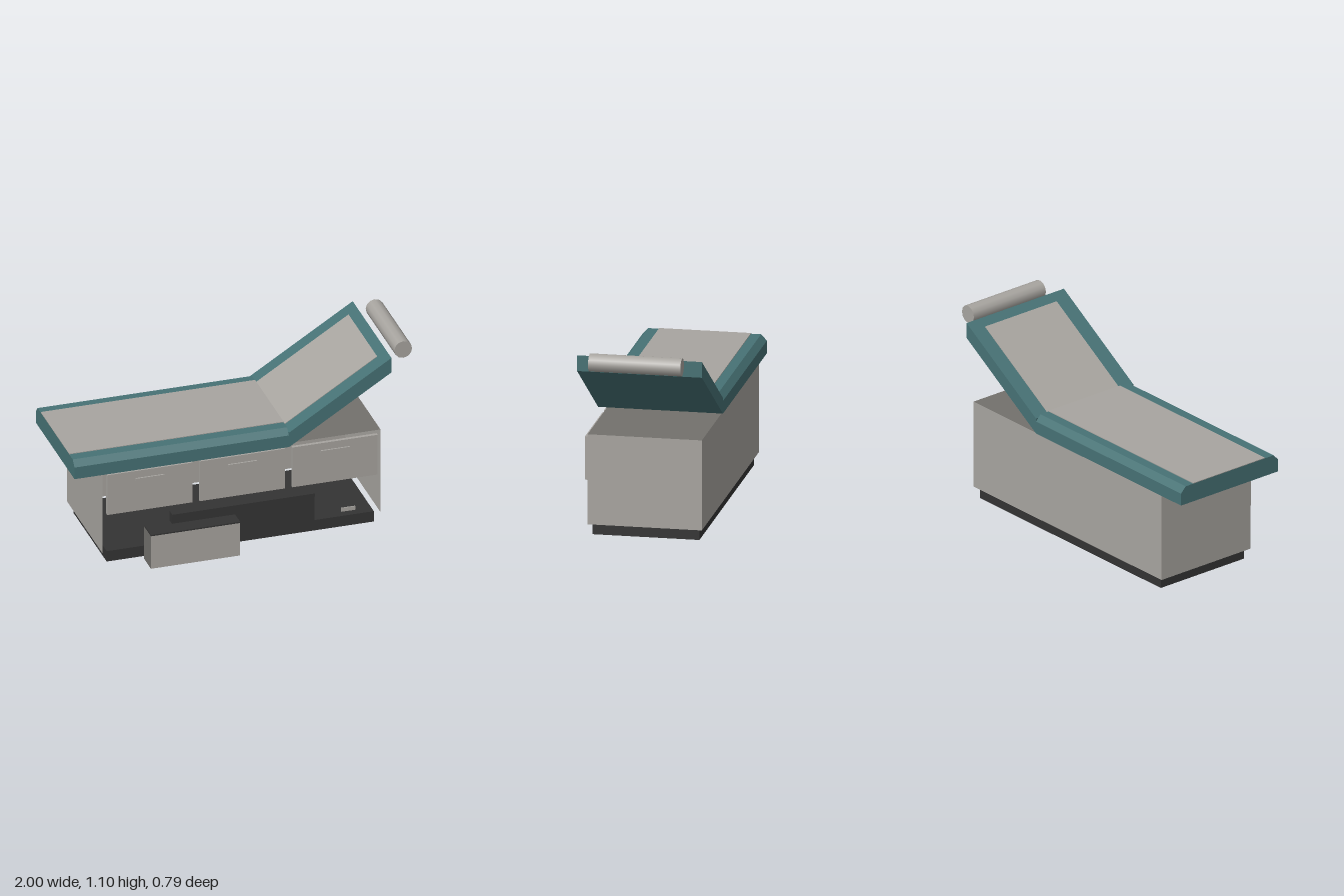
import * as THREE from 'three';

const mat = (name, color) => {
  const m = new THREE.MeshStandardMaterial({ color, side: THREE.DoubleSide });
  m.name = name;
  return m;
};

export function createModel() {
  const model = new THREE.Group();
  model.name = 'examinationTable';
  const grey = mat('warmGrey', 0xa8a5a0);
  const midGrey = mat('midGrey', 0x73716d);
  const teal = mat('teal', 0x477275);
  const dark = mat('charcoal', 0x343434);

  const add = (name, geometry, material) => {
    const mesh = new THREE.Mesh(geometry, material);
    mesh.name = name;
    model.add(mesh);
    return mesh;
  };

  // Box from its limits; faces is an optional list of materials in the order
  // +x, -x, +y, -y, +z, -z, where null leaves that side open.
  const box = (name, [x0, x1], [y0, y1], [z0, z1], material, faces) => {
    const g = new THREE.BoxGeometry(x1 - x0, y1 - y0, z1 - z0);
    g.translate((x0 + x1) / 2, (y0 + y1) / 2, (z0 + z1) / 2);
    if (!faces) {
      g.clearGroups();
      return add(name, g, material);
    }
    g.groups = g.groups.filter((group) => faces[group.materialIndex]);
    return add(name, g, faces.map((f) => f || material));
  };

  // Cross-section in two axes extruded along the third
  const extrude = (points, depth) => {
    const shape = new THREE.Shape(points.map(([a, b]) => new THREE.Vector2(a, b)));
    return new THREE.ExtrudeGeometry(shape, { depth, bevelEnabled: false });
  };

  // Base: hollow plinth and cabinet shell, open at the front and underneath
  box('plinth', [-0.79, 0.768], [0, 0.065], [-0.365, 0.24], dark,
    [dark, dark, dark, null, dark, dark]);
  box('cabinet', [-0.82, 0.8], [0.065, 0.585], [-0.385, 0.262], grey,
    [grey, grey, midGrey, null, null, grey]);

  // Three drawer fronts with bar handles
  for (let i = 0; i < 3; i++) {
    const x = -0.8 + i * 0.54;
    box('drawerFront', [x, x + 0.497], [0.315, 0.565], [0.262, 0.282], grey);
    box('drawerHandle', [x + 0.165, x + 0.332], [0.505, 0.521], [0.282, 0.291], grey);
  }

  // Pull-out step housing with its lip, the step itself and the socket
  box('stepHousing', [-0.43, 0.4], [0.086, 0.255], [0.262, 0.305], dark);
  box('stepHousingLip', [-0.43, 0.4], [0.255, 0.273], [0.262, 0.314], dark);
  box('footStep', [-0.582, -0.062], [0, 0.204], [0.272, 0.397], grey,
    [midGrey, midGrey, null, null, grey, null]);
  box('footStepTread', [-0.582, -0.062], [0.204, 0.212], [0.272, 0.397], dark);
  box('socketPlate', [0.57, 0.652], [0.107, 0.13], [0.262, 0.268], grey);

  // Seat cushion with chamfered long edges, running along x
  const seat = extrude([
    [-0.31, 0.587], [0.395, 0.587], [0.395, 0.66],
    [0.362, 0.695], [-0.277, 0.695], [-0.31, 0.66],
  ], 1.25);
  seat.rotateY(Math.PI / 2);
  seat.translate(-1, 0, 0);
  add('seatCushion', seat, teal);
  box('seatPaper', [-1, 0.25], [0.695, 0.699], [-0.305, 0.215], grey);

  // Raised backrest: a slab sheared upwards, with its thin cover
  const slope = 0.375 / 0.6;
  const topY = (x) => 0.678 + (x - 0.25) * slope;
  const slab = (x0, x1, below, above, z0, z1) => {
    const g = extrude([
      [x0, topY(x0) - below], [x1, topY(x1) - below],
      [x1, topY(x1) + above], [x0, topY(x0) + above],
    ], z1 - z0);
    g.translate(0, 0, z0);
    return g;
  };
  add('backrestCushion', slab(0.25, 0.848, 0.091, 0, -0.395, 0.312), teal);
  add('backrestPaper', slab(0.25, 0.795, 0, 0.004, -0.305, 0.215), grey);

  // Paper roll behind the head end
  const roll = new THREE.CylinderGeometry(0.052, 0.052, 0.523, 12);
  roll.rotateX(Math.PI / 2);
  roll.translate(0.946, 1.043, -0.041);
  add('paperRoll', roll, grey);

  return model;
}
